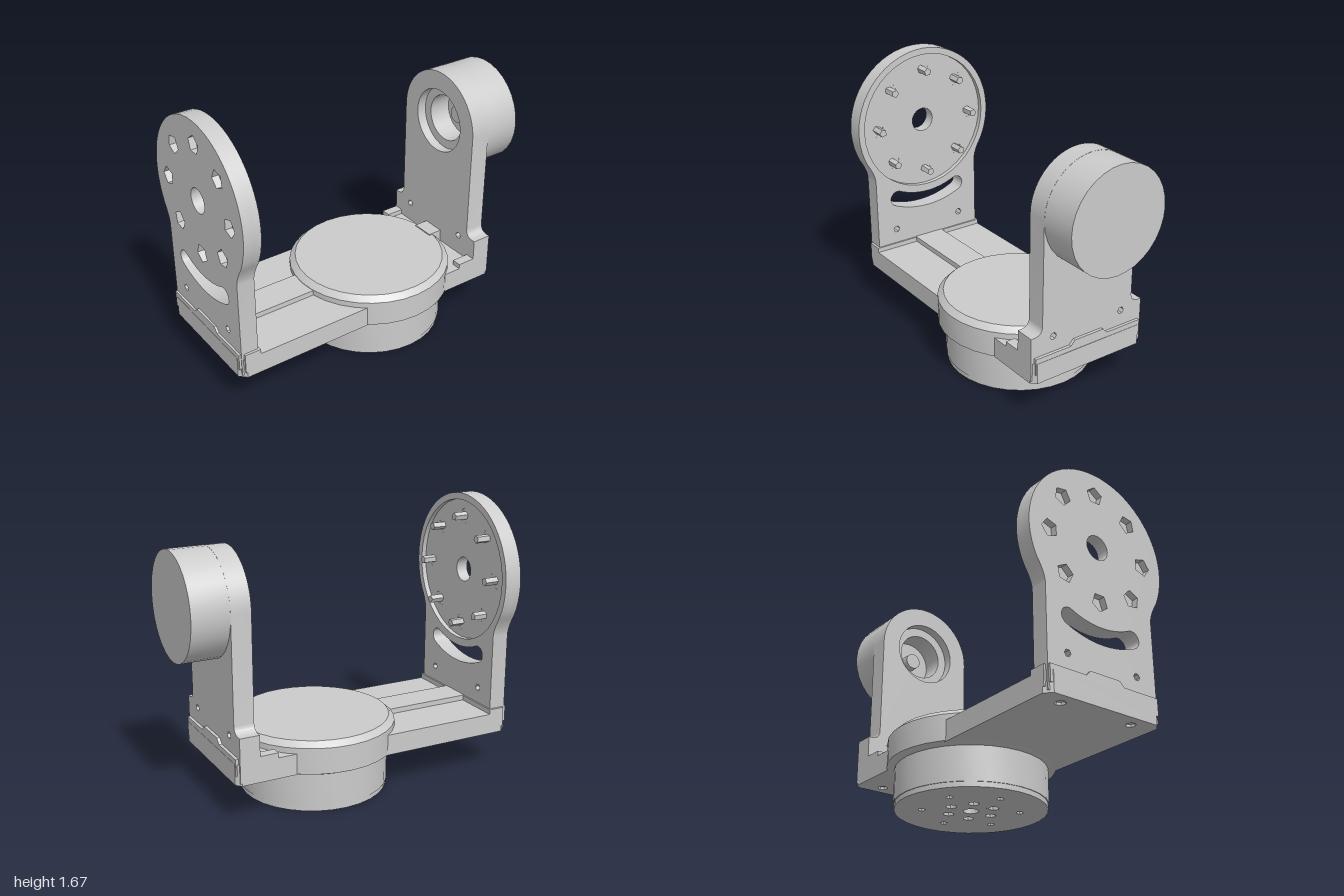
import * as THREE from 'three';
import { toCreasedNormals } from 'three/addons/utils/BufferGeometryUtils.js';

const material = new THREE.MeshStandardMaterial({ color: 0xcccccc });
const HUB_Y = 1.195;   // height of the tilt axis
const HUB_Z = -0.145;  // depth of the turning axis

function add(parent, name, geometry, x = 0, y = 0, z = 0) {
  const mesh = new THREE.Mesh(toCreasedNormals(geometry, 0.5), material);
  mesh.name = name;
  mesh.position.set(x, y, z);
  parent.add(mesh);
  return mesh;
}

// Upright slab between two z values
function slab(shape, z0, z1) {
  return new THREE.ExtrudeGeometry(shape, { depth: z1 - z0, bevelEnabled: false, curveSegments: 20 }).translate(0, 0, z0);
}

// Flat slab between two heights; the shape's y is -z
function flat(shape, y0, y1) {
  return slab(shape, y0, y1).rotateX(-Math.PI / 2);
}

// Round or polygonal hole
function hole(x, y, r, sides = 24, turn = 0) {
  const pts = [];
  for (let i = 0; i < sides; i++) {
    const a = turn + i / sides * Math.PI * 2;
    pts.push(new THREE.Vector2(x + r * Math.cos(a), y + r * Math.sin(a)));
  }
  return new THREE.Path(pts);
}

function ring(count, r, cx, cy, phase = 0) {
  return Array.from({ length: count }, (_, i) => {
    const a = phase + i / count * Math.PI * 2;
    return [cx + r * Math.cos(a), cy + r * Math.sin(a), a];
  });
}

// Disc-topped outline of the front arm
function frontOutline() {
  const s = new THREE.Shape();
  s.moveTo(-0.375, 0.26);
  s.lineTo(0.375, 0.26);
  s.lineTo(0.375, 0.86);
  s.quadraticCurveTo(0.378, 0.91, 0.428, 0.99);
  const a = Math.atan2(0.99 - HUB_Y, 0.428);
  s.absarc(0, HUB_Y, 0.475, a, Math.PI - a, false);
  s.quadraticCurveTo(-0.378, 0.91, -0.375, 0.86);
  // Curved slot, concentric with the disc
  const slot = new THREE.Path();
  const mid = -Math.PI / 2, half = 0.43, r = 0.535, w = 0.05;
  slot.absarc(0, HUB_Y, r + w, mid - half, mid + half, false);
  slot.absarc(r * Math.cos(mid + half), HUB_Y + r * Math.sin(mid + half), w, mid + half, mid + half + Math.PI, false);
  slot.absarc(0, HUB_Y, r - w, mid + half, mid - half, true);
  slot.absarc(r * Math.cos(mid - half), HUB_Y + r * Math.sin(mid - half), w, mid - half + Math.PI, mid - half + 2 * Math.PI, false);
  s.holes.push(slot, hole(-0.24, 0.495, 0.022, 6), hole(0.24, 0.495, 0.022, 6));
  return s;
}

function buildFrontArm() {
  const g = new THREE.Group();
  g.name = 'frontArm';
  const bolts = ring(8, 0.335, 0, HUB_Y);
  const face = frontOutline();
  face.holes.push(hole(0, HUB_Y, 0.075));
  for (const [x, y, a] of bolts) face.holes.push(hole(x, y, 0.055, 5, a));
  add(g, 'armFace', slab(face, 0.91, 0.985));
  // Rim around the shallow recess on the inner side
  const rim = frontOutline();
  rim.holes.push(hole(0, HUB_Y, 0.435, 40));
  add(g, 'armRim', slab(rim, 0.88, 0.91));
  for (const [x, y, a] of bolts) {
    add(g, 'boltSeat', slab(new THREE.Shape(hole(x, y, 0.057, 5, a).getPoints()), 0.911, 0.945));
    add(g, 'boltPeg', slab(new THREE.Shape(hole(x, y, 0.025, 5, a).getPoints()), 0.825, 0.93));
  }
  return g;
}

function buildRearArm() {
  const g = new THREE.Group();
  g.name = 'rearArm';
  const s = new THREE.Shape();
  s.moveTo(-0.39, 0.26);
  s.lineTo(0.39, 0.26);
  s.lineTo(0.39, 0.525);
  s.lineTo(0.365, 0.525);
  s.quadraticCurveTo(0.315, 0.53, 0.315, 0.58);
  s.absarc(0, HUB_Y, 0.315, 0, Math.PI, false);
  s.lineTo(-0.315, 0.58);
  s.quadraticCurveTo(-0.315, 0.53, -0.365, 0.525);
  s.lineTo(-0.39, 0.525);
  s.holes.push(hole(0, HUB_Y, 0.2, 32), hole(-0.24, 0.495, 0.022, 6), hole(0.24, 0.495, 0.022, 6));
  add(g, 'armPlate', slab(s, -0.78, -0.66));
  // Motor can with a stepped bore and a shaft
  const profile = [[0, -1], [0.315, -1], [0.315, -0.78], [0.2, -0.78], [0.2, -0.72], [0.145, -0.72],
    [0.145, -0.86], [0.05, -0.86], [0.05, -0.8], [0, -0.8]].map(p => new THREE.Vector2(...p));
  add(g, 'motorHousing', new THREE.LatheGeometry(profile, 32).rotateX(Math.PI / 2), 0, HUB_Y, 0);
  return g;
}

function buildBase() {
  const g = new THREE.Group();
  g.name = 'base';
  // Long plate with clipped corners
  const outline = () => new THREE.Shape([[-0.35, -1], [0.35, -1], [0.39, -0.96], [0.39, 0.77], [0.36, 0.8],
    [-0.36, 0.8], [-0.39, 0.77], [-0.39, -0.96]].map(p => new THREE.Vector2(...p)));
  const under = outline();
  for (const x of [-0.24, 0.24]) for (const v of [-0.92, 0.72]) under.holes.push(hole(x, v, 0.03, 8));
  add(g, 'basePlateUnderside', flat(under, 0.245, 0.27));
  add(g, 'basePlate', flat(outline(), 0.27, 0.37));
  add(g, 'centreRib', new THREE.BoxGeometry(0.2, 0.05, 0.62), 0, 0.377, 0.58);
  add(g, 'rearRib', new THREE.BoxGeometry(0.14, 0.1, 0.1), 0, 0.395, -0.62);
  // End blocks and the raised lips outside each arm
  const lip = new THREE.Shape([[-0.37, 0.3], [0.37, 0.3], [0.37, 0.4], [0.13, 0.4], [0.1, 0.43],
    [-0.1, 0.43], [-0.13, 0.4], [-0.37, 0.4]].map(p => new THREE.Vector2(...p)));
  add(g, 'frontLip', slab(lip, 0.975, 0.998));
  add(g, 'rearLip', slab(lip, -0.798, -0.775));
  add(g, 'frontFoot', new THREE.BoxGeometry(0.78, 0.12, 0.1), 0, 0.34, 0.92);
  for (const x of [-0.36, 0.36]) add(g, 'rearCheek', new THREE.BoxGeometry(0.06, 0.12, 0.22), x, 0.34, -0.66);
  return g;
}

function buildTurntable() {
  const g = new THREE.Group();
  g.name = 'turntable';
  const disc = [[0, 0.235], [0.46, 0.235], [0.49, 0.25], [0.49, 0.405], [0.455, 0.438], [0, 0.438]];
  add(g, 'turntableDisc', new THREE.LatheGeometry(disc.map(p => new THREE.Vector2(...p)), 32), 0, 0, HUB_Z);
  const drum = [[0, 0.03], [0.445, 0.03], [0.445, 0.25], [0, 0.25]];
  add(g, 'drum', new THREE.LatheGeometry(drum.map(p => new THREE.Vector2(...p)), 32), 0, 0, HUB_Z);
  // Drilled bottom cover
  const cover = new THREE.Shape(hole(0, 0, 0.44, 32).getPoints());
  cover.holes.push(hole(0, 0, 0.045, 12));
  for (const [x, y] of ring(6, 0.14, 0, 0)) cover.holes.push(hole(x, y, 0.032, 6));
  for (const [x, y] of ring(6, 0.28, 0, 0, 0.5)) cover.holes.push(hole(x, y, 0.022, 6));
  add(g, 'drumCover', flat(cover, 0, 0.03), 0, 0, HUB_Z);
  return g;
}

export function createModel() {
  const model = new THREE.Group();
  model.name = 'panTiltBracket';
  model.add(buildBase(), buildTurntable(), buildFrontArm(), buildRearArm());
  return model;
}
